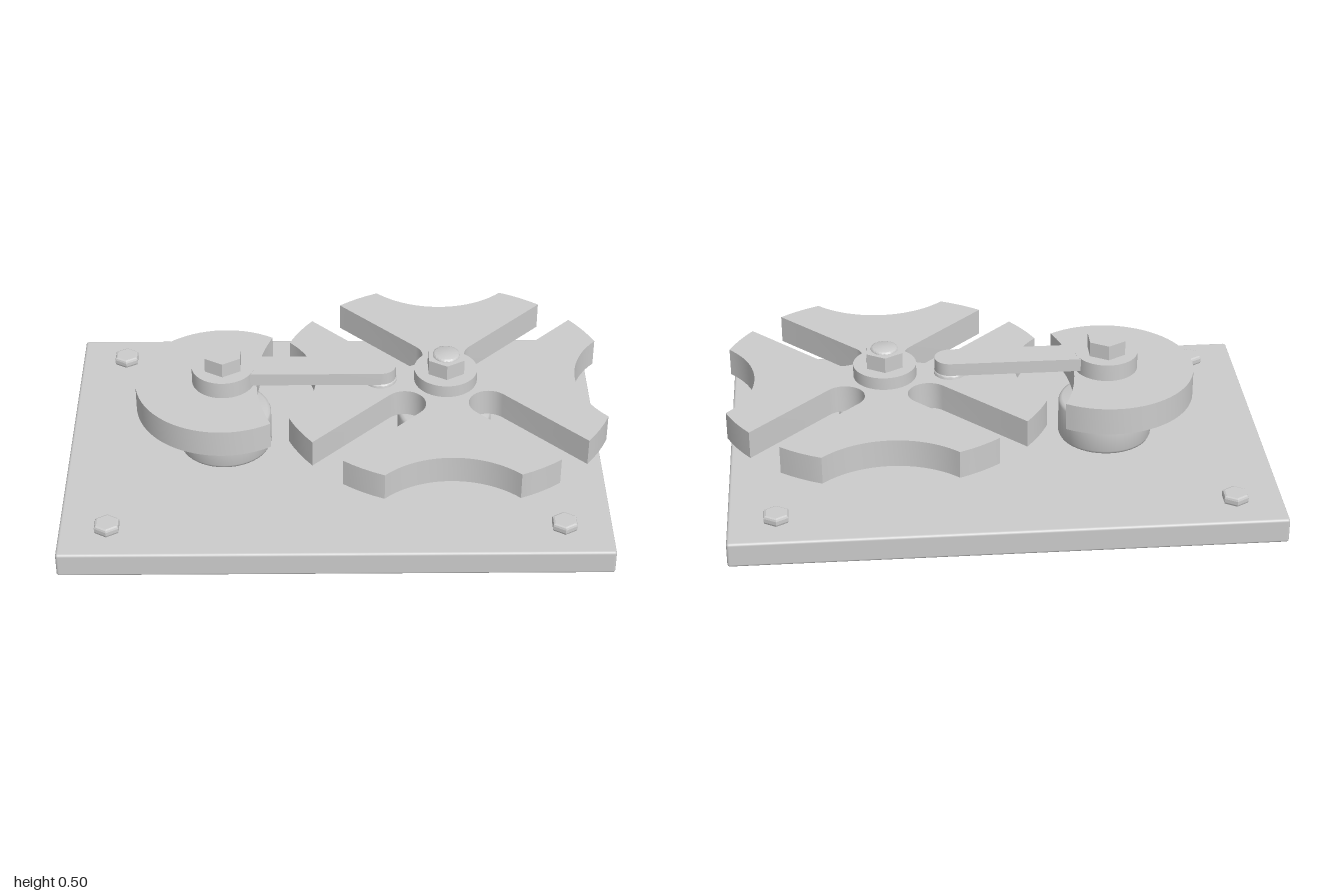
import * as THREE from 'three';
import { toCreasedNormals } from 'three/addons/utils/BufferGeometryUtils.js';
import { RoundedBoxGeometry } from 'three/addons/geometries/RoundedBoxGeometry.js';

const DRIVER_X = -0.414, WHEEL_X = 0.413, DIST = WHEEL_X - DRIVER_X;
const CRANK = 0.584, PLATE_TOP = 0.096;
const rad = THREE.MathUtils.degToRad;
const material = new THREE.MeshStandardMaterial({ color: 0xcccccc });

function part(parent, name, geometry, x = 0, y = 0, z = 0) {
  const mesh = new THREE.Mesh(geometry, material);
  mesh.name = name;
  mesh.position.set(x, y, z);
  parent.add(mesh);
  return mesh;
}

// Points along an arc, angles in degrees
function arc(cx, cy, r, from, to, steps) {
  return Array.from({ length: steps + 1 }, (_, i) => {
    const a = rad(from + (to - from) * i / steps);
    return new THREE.Vector2(cx + r * Math.cos(a), cy + r * Math.sin(a));
  });
}

// Horizontal slab cut from a 2D outline, standing on y = 0
function slab(points, height) {
  const g = new THREE.ExtrudeGeometry(new THREE.Shape(points), { depth: height, bevelEnabled: false });
  return toCreasedNormals(g.rotateX(-Math.PI / 2), rad(30));
}

// Upright round part with chamfered rims, standing on y = 0
function round(r, h, c = 0, sides = 48) {
  const profile = c
    ? [[0, 0], [r - c, 0], [r - c * 0.3, c * 0.3], [r, c], [r, h - c], [r - c * 0.3, h - c * 0.3], [r - c, h], [0, h]]
    : [[0, 0], [r, 0], [r, h], [0, h]];
  const g = new THREE.LatheGeometry(profile.map(p => new THREE.Vector2(...p)), sides);
  return toCreasedNormals(g, rad(sides === 6 ? 20 : 50));
}

// Slotted wheel: a locking hollow on each axis, a slot on each diagonal
function slottedWheel() {
  const R = 0.63, slotR = 0.0765, slotStart = 0.219 * Math.SQRT1_2;
  const quarter = [
    ...arc(DIST, 0, 0.344, 224.5, 135.5, 24),
    ...arc(0, 0, R, 22.6, 38, 4),
    ...arc(slotStart, slotStart, slotR, -45, -225, 16),
    ...arc(0, 0, R, 52, 67.2, 4),
  ];
  const points = [];
  for (let k = 0; k < 4; k++) {
    points.push(...quarter.map(p => p.clone().rotateAround(new THREE.Vector2(), k * Math.PI / 2)));
  }
  return slab(points, 0.105);
}

// Locking disc with a hollow clearing the wheel
function lockingDisc() {
  return slab([
    ...arc(0, 0, 0.328, 56.9, 303.1, 48),
    ...arc(DIST, 0, 0.704, 202, 158, 16),
  ], 0.105);
}

export function createModel() {
  const model = new THREE.Group();
  model.name = 'indexingMechanism';

  // Base plate and corner bolts
  part(model, 'basePlate', new RoundedBoxGeometry(2, PLATE_TOP, 1.344, 3, 0.01), 0, PLATE_TOP / 2, 0);
  for (const x of [-1, 1]) for (const z of [-1, 1]) {
    part(model, 'cornerBolt', round(0.051, 0.034, 0.01, 6), x * 0.825, PLATE_TOP, z * 0.527);
  }

  // Driver: bearing, shaft, locking disc, crank with roller
  const driver = new THREE.Group();
  driver.name = 'driver';
  driver.position.x = DRIVER_X;
  model.add(driver);
  part(driver, 'driverBearing', round(0.175, 0.151, 0.014), 0, PLATE_TOP, 0);
  part(driver, 'driverShaft', round(0.05, 0.2), 0, 0.24, 0);
  part(driver, 'lockingDisc', lockingDisc(), 0, 0.275, 0);
  part(driver, 'crankHub', round(0.117, 0.066), 0, 0.379, 0);
  part(driver, 'crankArm', slab([
    new THREE.Vector2(0, -0.058),
    ...arc(CRANK, 0, 0.058, -90, 90, 20),
    new THREE.Vector2(0, 0.058),
  ], 0.049), 0, 0.395, 0);
  part(driver, 'crankRoller', round(0.061, 0.128, 0.006, 32), CRANK, 0.267, 0);
  part(driver, 'driverNut', round(0.076, 0.06, 0, 6), 0, 0.442, 0);

  // Driven wheel: bearing, shaft, slotted wheel, collar and nut
  const driven = new THREE.Group();
  driven.name = 'drivenWheel';
  driven.position.x = WHEEL_X;
  model.add(driven);
  part(driven, 'wheelBearing', round(0.175, 0.151, 0.014), 0, PLATE_TOP, 0);
  part(driven, 'wheelShaft', round(0.05, 0.257, 0.006), 0, 0.24, 0);
  part(driven, 'slottedWheel', slottedWheel(), 0, 0.275, 0);
  part(driven, 'wheelCollar', round(0.117, 0.049), 0, 0.379, 0);
  part(driven, 'wheelNut', round(0.076, 0.062, 0, 6), 0, 0.426, 0);

  return model;
}
